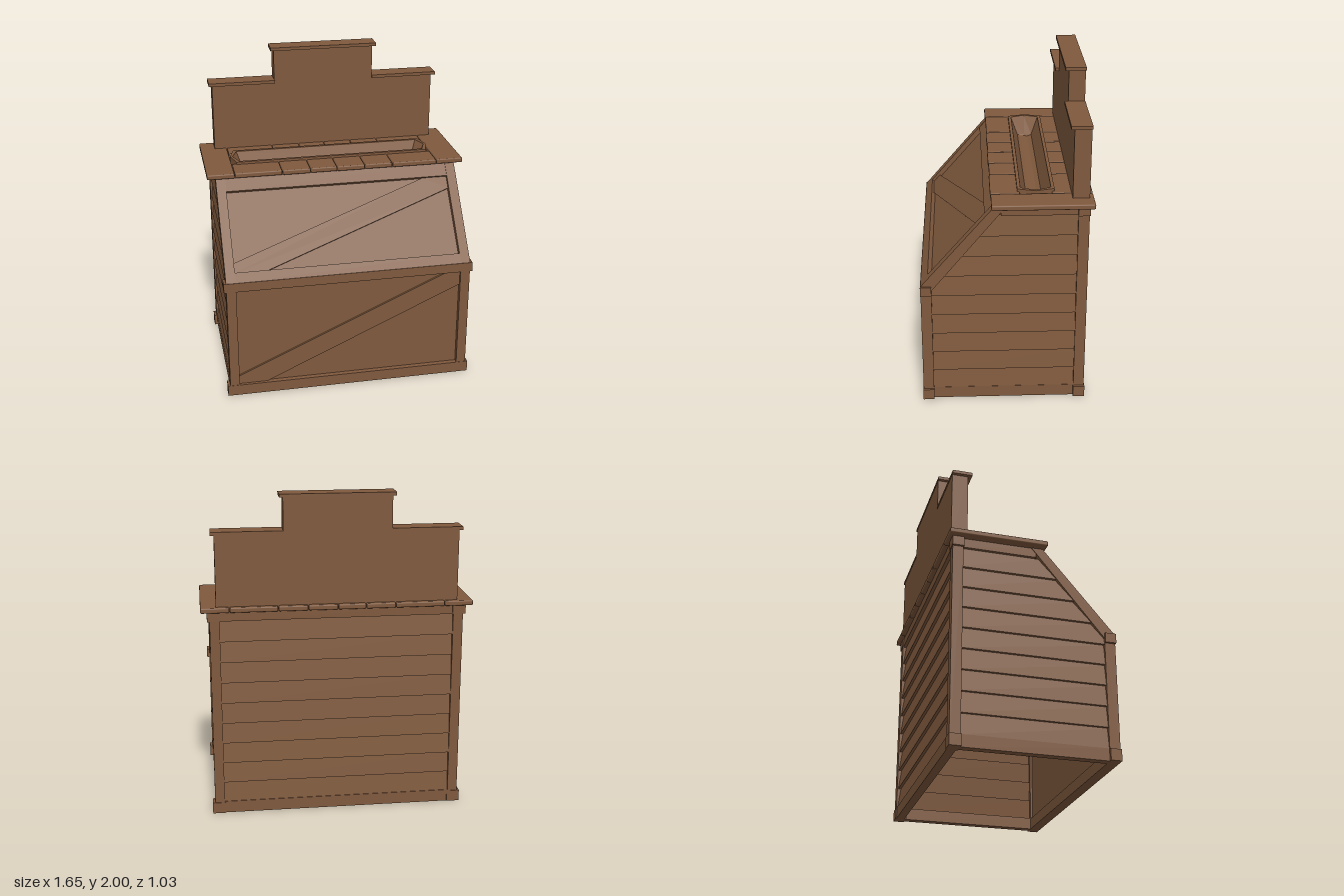
import * as THREE from 'three';
import { RoundedBoxGeometry } from 'three/addons/geometries/RoundedBoxGeometry.js';

const wood = new THREE.MeshStandardMaterial({ color: 0x7f593d, side: THREE.DoubleSide });
wood.name = 'brown wood';

function add(parent, name, geometry) {
  const mesh = new THREE.Mesh(geometry, wood);
  mesh.name = name;
  parent.add(mesh);
  return mesh;
}

// Box given by its limits on each axis
function box(parent, name, x0, x1, y0, y1, z0, z1) {
  const g = new THREE.BoxGeometry(x1 - x0, y1 - y0, z1 - z0);
  g.translate((x0 + x1) / 2, (y0 + y1) / 2, (z0 + z1) / 2);
  return add(parent, name, g);
}

function extrude(points, depth, hole) {
  const shape = new THREE.Shape(points.map(p => new THREE.Vector2(...p)));
  if (hole) shape.holes.push(new THREE.Path(hole.map(p => new THREE.Vector2(...p))));
  return new THREE.ExtrudeGeometry(shape, { depth, bevelEnabled: false });
}

// Recessed panel between two rails with a diagonal brace, facing local +z
function framedPanel(name, height, lo, hi, brace) {
  const g = new THREE.Group();
  g.name = name;
  box(g, 'bottomRail', -0.72, 0.72, 0, lo, -0.06, 0);
  box(g, 'topRail', -0.72, 0.72, hi, height, -0.06, 0);
  box(g, 'panel', -0.72, 0.72, lo - 0.01, hi + 0.01, -0.05, -0.03);
  add(g, 'diagonalBrace', extrude(brace, 0.014)).position.z = -0.031;
  return g;
}

// Overlapping tilted boards facing local +z, with ends that follow left(y) and right(y)
function clapboards(name, out, left, right) {
  const g = new THREE.Group();
  g.name = name;
  const count = 9, y0 = 0.072, step = (1.245 - y0) / count;
  for (let i = 0; i < count; i++) {
    const geo = new THREE.BoxGeometry(1, 1, 1);
    const p = geo.attributes.position;
    for (let k = 0; k < p.count; k++) {
      const y = y0 + (i + p.getY(k) + 0.5) * step;
      const x = p.getX(k) < 0 ? left(y) : right(y);
      const tilt = p.getY(k) < 0 ? 0 : -0.018;
      p.setXYZ(k, x, y, out + tilt + (p.getZ(k) < 0 ? -0.022 : 0));
    }
    geo.computeVertexNormals();
    add(g, 'board', geo);
  }
  return g;
}

// Long hexagon in the plane of the counter top
const hexagon = (tip, x, z) => [[tip, 0], [x, z], [-x, z], [-tip, 0], [-x, -z], [x, -z]];

export function createModel() {
  const model = new THREE.Group();
  model.name = 'marketStall';

  // Front: upright lower panel and sloping upper panel
  const lower = framedPanel('lowerFront', 0.79, 0.07, 0.73,
    [[-0.71, 0.07], [-0.53, 0.07], [0.71, 0.635], [0.71, 0.73], [0.63, 0.73], [-0.71, 0.125]]);
  lower.position.z = 0.51;
  const upper = framedPanel('slopingFront', 0.673, 0.066, 0.588,
    [[-0.71, 0.066], [-0.51, 0.066], [0.71, 0.508], [0.71, 0.588], [0.55, 0.588], [-0.71, 0.13]]);
  upper.position.set(0, 0.79, 0.51);
  upper.rotation.x = -Math.atan2(0.44, 0.51);
  model.add(lower, upper);
  box(model, 'middleRail', -0.785, 0.785, 0.73, 0.79, 0.445, 0.512);
  box(model, 'frontBase', -0.785, 0.785, 0, 0.07, 0.445, 0.512);

  // Side frames, posts and collars
  for (const s of [-1, 1]) {
    const bent = extrude([[0.51, 0], [0.51, 0.79], [0.07, 1.305], [0, 1.305], [0.445, 0.76], [0.445, 0]], 0.06);
    bent.rotateY(-Math.PI / 2);
    add(model, 'frontPost', bent).position.x = s > 0 ? 0.77 : -0.71;
    const span = (name, a, b, ...rest) =>
      box(model, name, s > 0 ? a : -b, s > 0 ? b : -a, ...rest);
    span('backPost', 0.71, 0.77, 0, 1.305, -0.485, -0.42);
    span('backFoot', 0.705, 0.785, 0, 0.07, -0.489, -0.418);
    span('backCollar', 0.705, 0.785, 1.245, 1.305, -0.489, -0.418);
    span('sideBase', 0.715, 0.765, 0, 0.075, -0.43, 0.45);
    span('sideTopRail', 0.715, 0.765, 1.245, 1.305, -0.43, 0.03);
  }
  box(model, 'backBase', -0.72, 0.72, 0, 0.075, -0.483, -0.43);
  box(model, 'backTopRail', -0.72, 0.72, 1.245, 1.305, -0.483, -0.43);

  // Clapboard walls
  const front = y => 0.465 - Math.max(0, y - 0.76) * 0.82;
  const leftWall = clapboards('leftWall', 0.764, y => -front(y), () => 0.43);
  leftWall.rotation.y = Math.PI / 2;
  const rightWall = clapboards('rightWall', 0.764, () => -0.43, front);
  rightWall.rotation.y = -Math.PI / 2;
  const backWall = clapboards('backWall', 0.479, () => -0.72, () => 0.72);
  backWall.rotation.y = Math.PI;
  model.add(leftWall, rightWall, backWall);

  // Counter planks, with the middle ones cut around the trough
  const counter = new THREE.Group();
  counter.name = 'counterTop';
  model.add(counter);
  const seams = [-0.825, -0.65, -0.35, -0.17, 0, 0.18, 0.36, 0.65, 0.825];
  const plank = (x0, x1, z0, z1) => {
    const g = new RoundedBoxGeometry(x1 - x0 - 0.003, 0.032, z1 - z0, 2, 0.008);
    add(counter, 'plank', g).position.set((x0 + x1) / 2, 1.319, (z0 + z1) / 2);
  };
  for (let i = 0; i < seams.length - 1; i++) {
    const x0 = seams[i], x1 = seams[i + 1], end = 0.09 - (i % 2) * 0.003;
    if (i === 0 || i === seams.length - 2) plank(x0, x1, -0.513, end);
    else {
      plank(x0, x1, -0.513, -0.275);
      plank(x0, x1, -0.085, end);
    }
  }

  // Trough rim
  const trough = new THREE.Group();
  trough.name = 'trough';
  trough.position.z = -0.18;
  model.add(trough);
  const rim = extrude(hexagon(0.65, 0.62, 0.11), 0.045, hexagon(0.635, 0.6, 0.09));
  rim.rotateX(-Math.PI / 2);
  add(trough, 'rim', rim).position.y = 1.305;

  // Trough basin: sloping walls between three hexagons and a flat floor
  const rings = [[0.635, 0.6, 0.09, 1.345], [0.575, 0.562, 0.047, 1.235], [0.565, 0.555, 0.02, 1.225]]
    .map(([t, x, z, y]) => hexagon(t, x, z).map(([a, b]) => [a, y, b]));
  const corners = [];
  for (let r = 0; r < 2; r++) {
    for (let i = 0; i < 6; i++) {
      const j = (i + 1) % 6, [a, b] = [rings[r], rings[r + 1]];
      corners.push(...a[i], ...a[j], ...b[j], ...a[i], ...b[j], ...b[i]);
    }
  }
  for (let i = 1; i < 5; i++) corners.push(...rings[2][0], ...rings[2][i + 1], ...rings[2][i]);
  const basin = new THREE.BufferGeometry();
  basin.setAttribute('position', new THREE.Float32BufferAttribute(corners, 3));
  basin.computeVertexNormals();
  add(trough, 'basin', basin);

  // Stepped back board with caps
  const board = extrude([[-0.73, 1.32], [0.73, 1.32], [0.73, 1.77], [0.325, 1.77], [0.325, 1.985],
    [-0.325, 1.985], [-0.325, 1.77], [-0.73, 1.77]], 0.1);
  add(model, 'backBoard', board).position.z = -0.487;
  box(model, 'centreCap', -0.347, 0.347, 1.98, 2, -0.489, -0.365);
  box(model, 'rightCap', -0.752, -0.323, 1.765, 1.785, -0.489, -0.365);
  box(model, 'leftCap', 0.323, 0.752, 1.765, 1.785, -0.489, -0.365);

  return model;
}
